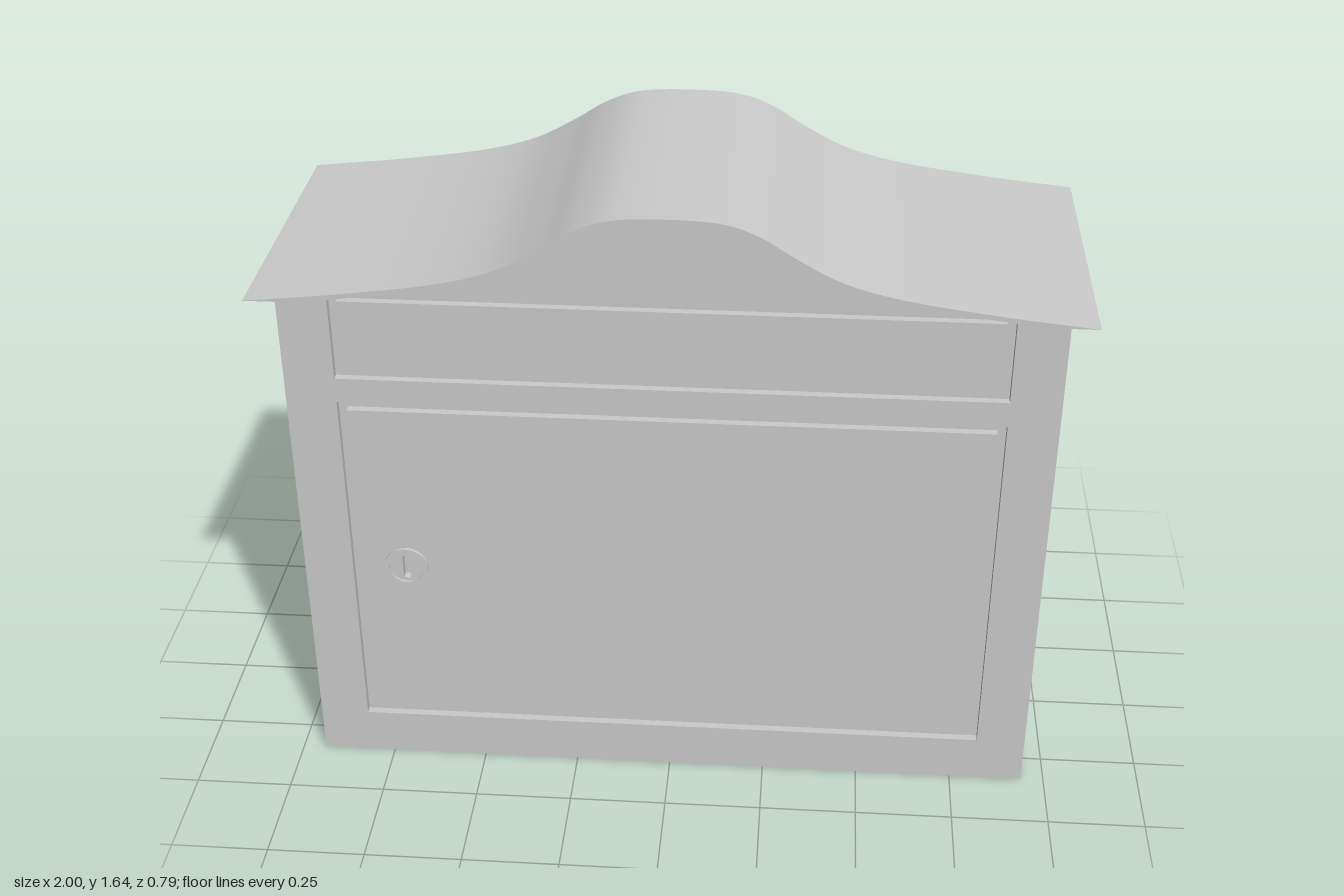
import * as THREE from 'three';
import { toCreasedNormals } from 'three/addons/utils/BufferGeometryUtils.js';

const BACK = -0.395, FRONT = 0.335, GROOVE = 0.02, ROOF_FRONT = 0.395;
const EAVE = 1.395, ROOF_THICK = 0.012, BODY_HALF = 0.94;

// Right half of the bell-shaped roof line, mirrored into a smooth curve.
const half = [[0.08, 1.636], [0.15, 1.626], [0.22, 1.598], [0.3, 1.548],
  [0.4, 1.495], [0.52, 1.459], [0.75, 1.423], [1, EAVE]];
const roofCurve = new THREE.CatmullRomCurve3([
  ...half.slice().reverse().map(([x, y]) => new THREE.Vector3(-x, y, 0)),
  ...half.map(([x, y]) => new THREE.Vector3(x, y, 0)),
]);
const roofLine = roofCurve.getPoints(90).map(p => new THREE.Vector2(p.x, Math.min(p.y, 1.638)));
const underLine = roofLine.map(p => new THREE.Vector2(p.x, Math.max(p.y - ROOF_THICK, EAVE)));

const material = new THREE.MeshStandardMaterial({ color: 0xcccccc });

function slab(name, shape, z0, z1, curveSegments = 32) {
  const geometry = new THREE.ExtrudeGeometry(shape, { depth: z1 - z0, bevelEnabled: false, curveSegments });
  geometry.translate(0, 0, z0);
  const mesh = new THREE.Mesh(toCreasedNormals(geometry, 0.5), material);
  mesh.name = name;
  return mesh;
}

function rect(Type, x0, y0, x1, y1) {
  const path = new Type();
  path.moveTo(x0, y0);
  path.lineTo(x1, y0);
  path.lineTo(x1, y1);
  path.lineTo(x0, y1);
  path.closePath();
  return path;
}

function circle(Type, x, y, r) {
  const path = new Type();
  path.absarc(x, y, r, 0, Math.PI * 2);
  return path;
}

// Outline of the box, closed along the underside of the roof.
function bodyShape() {
  const top = underLine.filter(p => Math.abs(p.x) < BODY_HALF).reverse();
  return new THREE.Shape([
    new THREE.Vector2(-BODY_HALF, 0), new THREE.Vector2(BODY_HALF, 0),
    new THREE.Vector2(BODY_HALF, EAVE), ...top, new THREE.Vector2(-BODY_HALF, EAVE),
  ]);
}

export function createModel() {
  const group = new THREE.Group();
  group.name = 'mailbox';

  // Box and front frame with two openings
  const floorZ = FRONT - GROOVE;
  group.add(slab('body', bodyShape(), BACK, floorZ));
  const openings = {
    letterFlap: [-0.815, 1.158, 0.815, 1.392],
    door: [-0.815, 0.125, 0.815, 1.092],
  };
  const frame = bodyShape();
  for (const o of Object.values(openings)) frame.holes.push(rect(THREE.Path, ...o));
  group.add(slab('frontFrame', frame, floorZ, FRONT));

  // Panels inside the openings, leaving a narrow groove all round
  const gap = 0.022, lockX = -0.675, lockY = 0.61;
  for (const [name, [x0, y0, x1, y1]] of Object.entries(openings)) {
    const panel = rect(THREE.Shape, x0 + gap, y0 + gap, x1 - gap, y1 - gap);
    if (name === 'door') panel.holes.push(circle(THREE.Path, lockX, lockY, 0.05));
    group.add(slab(name, panel, floorZ, FRONT));
  }

  // Lock: raised ring around a barrel with a key slot
  const ring = circle(THREE.Shape, lockX, lockY, 0.057);
  ring.holes.push(circle(THREE.Path, lockX, lockY, 0.043));
  group.add(slab('lockRing', ring, floorZ, 0.343));
  const barrel = circle(THREE.Shape, lockX, lockY, 0.043);
  barrel.holes.push(rect(THREE.Path, lockX - 0.009, lockY - 0.033, lockX + 0.009, lockY + 0.033));
  group.add(slab('lockBarrel', barrel, floorZ, 0.337));

  // Curved roof, overhanging the front and both sides
  const roof = new THREE.Shape([...underLine.slice(1, -1), ...roofLine.slice().reverse()]);
  group.add(slab('roof', roof, BACK, ROOF_FRONT));

  return group;
}
